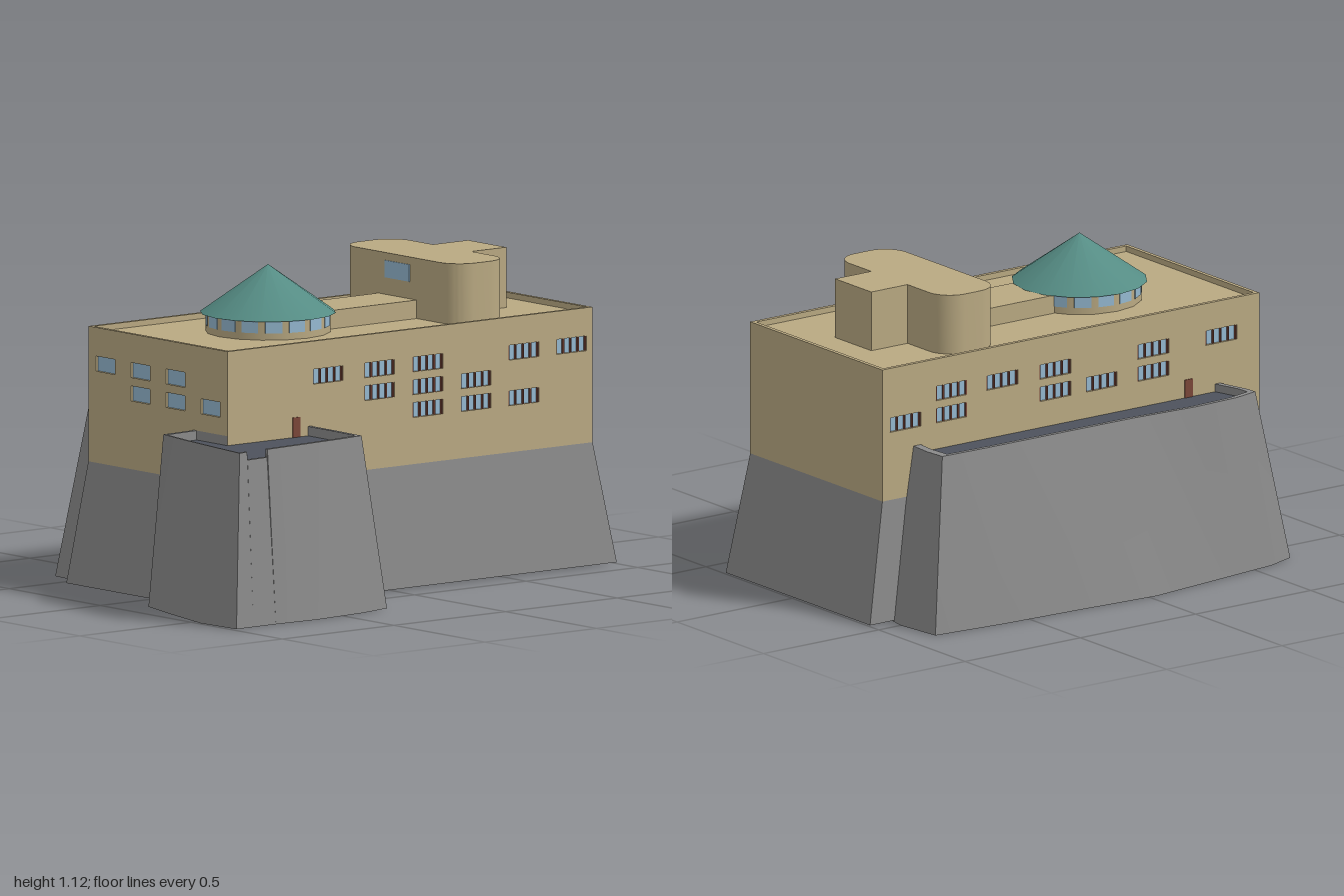
import * as THREE from 'three';
import { toCreasedNormals } from 'three/addons/utils/BufferGeometryUtils.js';

const paint = (color) => new THREE.MeshStandardMaterial({ color, side: THREE.DoubleSide });
const stone = paint(0xb9a982), rock = paint(0x8a8a8a), paving = paint(0x4d525c);
const copper = paint(0x558c84), glass = paint(0x94b8d0), wood = paint(0x7a4638);

const EAST = 0.35, WEST = -0.415, FRONT = 0.715, BACK = -0.92;
const BASE = 0.43, TOP = 0.905, ROOF = 0.885, THICK = 0.015;
const MID = -0.035; // centre line of the rooftop parts

function add(parent, name, geometry, material, x = 0, y = 0, z = 0) {
  const mesh = new THREE.Mesh(geometry, material);
  mesh.name = name;
  mesh.position.set(x, y, z);
  parent.add(mesh);
  return mesh;
}

function addBox(parent, name, material, x0, x1, y0, y1, z0, z1) {
  const g = new THREE.BoxGeometry(x1 - x0, y1 - y0, z1 - z0);
  return add(parent, name, g, material, (x0 + x1) / 2, (y0 + y1) / 2, (z0 + z1) / 2);
}

// Surface through rows of [x, y, z] points, open at its ends
function loft(rows) {
  const n = rows[0].length, index = [];
  for (let r = 0; r < rows.length - 1; r++) {
    for (let i = 0; i < n - 1; i++) {
      const a = r * n + i, b = a + n;
      index.push(a, b, a + 1, a + 1, b, b + 1);
    }
  }
  const g = new THREE.BufferGeometry();
  g.setAttribute('position', new THREE.Float32BufferAttribute(rows.flat(2), 3));
  g.setIndex(index);
  return toCreasedNormals(g, 0.5);
}

// Wall panel with window openings; windows are [u, v] centres in wall coordinates
function addWall(parent, name, u0, u1, windows, w, h, panes) {
  const wall = new THREE.Group();
  wall.name = name;
  parent.add(wall);
  const rect = (path, a, b, c, d) => path.moveTo(a, c).lineTo(b, c).lineTo(b, d).lineTo(a, d).lineTo(a, c);
  const shape = rect(new THREE.Shape(), u0, u1, BASE, TOP);
  for (const [u, v] of windows) {
    shape.holes.push(rect(new THREE.Path(), u - w / 2, u + w / 2, v - h / 2, v + h / 2));
    add(wall, 'windowGlass', new THREE.PlaneGeometry(w, h), glass, u, v, 0.005);
    for (let i = 0; panes > 1 && i <= panes; i++) {
      const bar = u + (i / panes - 0.5) * (w - 0.005);
      addBox(wall, 'windowBar', wood, bar - 0.0025, bar + 0.0025, v - h / 2, v + h / 2, 0.004, 0.013);
    }
  }
  add(wall, name + 'Panel', new THREE.ExtrudeGeometry(shape, { depth: THICK, bevelEnabled: false }), stone);
  return wall;
}

// Rocky terrace: points are [bottomX, bottomZ, topX, topZ, rimHeight]
function addTerrace(parent, name, points, anchorX, anchorZ, floorY) {
  const inX = (p) => p[2] + Math.sign(anchorX - p[2]) * Math.min(THICK, Math.abs(anchorX - p[2]));
  const inZ = (p) => p[3] + (anchorZ - p[3]) * 0.04;
  const rim = (p) => p[4] ?? 0.608;
  add(parent, name + 'Wall', loft([
    points.map((p) => [p[0], 0, p[1]]),
    points.map((p) => [p[2], rim(p), p[3]]),
    points.map((p) => [inX(p), rim(p), inZ(p)]),
    points.map((p) => [inX(p), floorY, inZ(p)]),
  ]), rock);
  const floor = new THREE.Shape(points.map((p) => new THREE.Vector2(inX(p), inZ(p))));
  add(parent, name + 'Floor', new THREE.ShapeGeometry(floor).rotateX(Math.PI / 2), paving, 0, floorY, 0);
}

export function createModel() {
  const model = new THREE.Group();
  model.name = 'hilltopBuilding';

  // Sloping plinth, left open where the long terrace joins it
  const plinth = [
    [-0.45, -0.78, WEST, -0.78], [-0.45, -1, WEST, BACK], [0.385, -1, EAST, BACK],
    [0.385, 0.785, EAST, FRONT], [-0.45, 0.785, WEST, FRONT], [-0.45, 0.56, WEST, 0.56],
  ];
  add(model, 'plinth', loft([
    plinth.map((p) => [p[0], 0.005, p[1]]),
    plinth.map((p) => [p[2], BASE, p[3]]),
  ]), rock);

  // Walls with their windows
  const rows = [0.78, 0.7, 0.62];
  const front = addWall(model, 'frontWall', WEST, EAST, [
    [-0.321, 0.778], [-0.129, 0.778], [0.063, 0.778],
    [-0.129, 0.696], [0.063, 0.696], [0.256, 0.696],
  ], 0.104, 0.053, 1);
  front.position.z = FRONT - THICK;

  const back = addWall(model, 'backWall', -EAST, -WEST, [], 0, 0, 1);
  back.rotation.y = Math.PI;
  back.position.z = BACK + THICK;

  const rightColumns = [-0.265, -0.035, 0.182, 0.398, 0.612, 0.825];
  const rightLayout = [[0, 1, 2, 4, 5], [1, 2, 3], [2, 3, 4]];
  const rightWindows = rightLayout.flatMap((cols, r) => cols.map((c) => [rightColumns[c], rows[r]]));
  const right = addWall(model, 'leftWall', -FRONT + THICK, -BACK - THICK, rightWindows, 0.135, 0.052, 4);
  right.rotation.y = Math.PI / 2;
  right.position.x = EAST - THICK;
  addBox(right, 'door', wood, -0.425, -0.39, 0.565, 0.645, 0.005, THICK + 0.003);

  const leftColumns = [-0.82, -0.62, -0.4, -0.17, 0.03, 0.255, 0.55];
  const leftLayout = [[1, 2, 3, 5, 6], [0, 1, 3, 4, 5]];
  const leftWindows = leftLayout.flatMap((cols, r) => cols.map((c) => [leftColumns[c], rows[r]]));
  const left = addWall(model, 'rightWall', BACK + THICK, FRONT - THICK, leftWindows, 0.135, 0.052, 4);
  left.rotation.y = -Math.PI / 2;
  left.position.x = WEST + THICK;
  addBox(left, 'door', wood, 0.39, 0.425, 0.565, 0.645, 0.005, THICK + 0.003);

  // Flat roof sunk behind the wall tops
  const roof = new THREE.PlaneGeometry(EAST - WEST - 2 * THICK, FRONT - BACK - 2 * THICK).rotateX(-Math.PI / 2);
  add(model, 'flatRoof', roof, stone, (EAST + WEST) / 2, ROOF, (FRONT + BACK) / 2);

  // Rooftop block with rounded ends, rear stem and front corridor
  const x0 = -0.355, x1 = 0.285, z0 = -0.605, z1 = -0.36, r = 0.09;
  const plan = new THREE.Shape();
  plan.absarc(x1 - r, z1 - r, r, 0, Math.PI / 2);
  plan.absarc(x0 + r, z1 - r, r, Math.PI / 2, Math.PI);
  plan.absarc(x0 + r, z0 + r, r, Math.PI, Math.PI * 1.5);
  plan.absarc(x1 - r, z0 + r, r, Math.PI * 1.5, Math.PI * 2);
  const block = new THREE.ExtrudeGeometry(plan, { depth: 1.097 - ROOF, bevelEnabled: false, curveSegments: 8 });
  block.rotateX(Math.PI / 2);
  add(model, 'roofBlock', toCreasedNormals(block, 0.5), stone, 0, 1.097, 0);
  addBox(model, 'roofBlockStem', stone, -0.14, 0.07, ROOF, 1.097, -0.762, -0.6);
  addBox(model, 'roofCorridor', stone, -0.14, 0.07, ROOF, 0.95, -0.365, 0.05);
  addBox(model, 'roofBlockWindow', glass, MID - 0.068, MID + 0.068, 1.01, 1.07, z1 - 0.01, z1 + 0.003);

  // Round pavilion: windowed drum under a conical roof
  const pavilion = new THREE.Group();
  pavilion.name = 'pavilion';
  pavilion.position.set(MID, 0, 0.22);
  model.add(pavilion);
  const sides = 16, drumR = 0.218;
  add(pavilion, 'drum', new THREE.CylinderGeometry(drumR, drumR, 0.955 - ROOF, sides), stone, 0, (0.955 + ROOF) / 2, 0);
  for (let i = 0; i < sides; i++) {
    const a = ((i + 0.5) / sides) * Math.PI * 2, d = drumR * Math.cos(Math.PI / sides);
    const pane = add(pavilion, 'drumWindow', new THREE.BoxGeometry(0.06, 0.04, 0.004), glass,
      Math.sin(a) * d, 0.929, Math.cos(a) * d);
    pane.rotation.y = a;
  }
  add(pavilion, 'conicalRoof', new THREE.ConeGeometry(0.237, 0.168, sides), copper, 0, 1.036, 0);

  // Corner terrace, with a gap in its rim
  addTerrace(model, 'cornerTerrace', [
    [0.37, 0.255, EAST, 0.34], [0.5, 0.26, 0.5, 0.34], [0.68, 0.27, 0.632, 0.345],
    [0.71, 0.4, 0.645, 0.45], [0.73, 0.62, 0.66, 0.64], [0.722, 0.8, 0.671, 0.798],
    [0.722, 0.802, 0.671, 0.8, 0.58], [0.722, 0.9, 0.678, 0.893, 0.58], [0.722, 0.902, 0.678, 0.895],
    [0.724, 0.98, 0.68, 0.93], [0.54, 0.99, 0.53, 0.912], [0.3, 0.935, 0.32, 0.885],
    [0.13, 0.89, 0.175, 0.86], [0.122, 0.77, 0.165, FRONT], [0.35, 0.72, 0.35, FRONT],
  ], EAST, FRONT, 0.575);

  // Long terrace along the other side
  addTerrace(model, 'longTerrace', [
    [-0.42, -0.89, WEST, -0.785], [-0.5, -0.905, -0.5, -0.792], [-0.675, -0.885, -0.582, -0.785],
    [-0.7, -0.61, -0.587, -0.6], [-0.715, -0.3, -0.588, -0.3], [-0.735, 0.03, -0.59, 0.03],
    [-0.695, 0.345, -0.606, 0.3], [-0.665, 0.58, -0.598, 0.48], [-0.625, 0.692, -0.575, 0.578],
    [-0.55, 0.7, -0.53, 0.575], [-0.42, 0.67, WEST, 0.545],
  ], WEST, 0, 0.58);

  return model;
}
